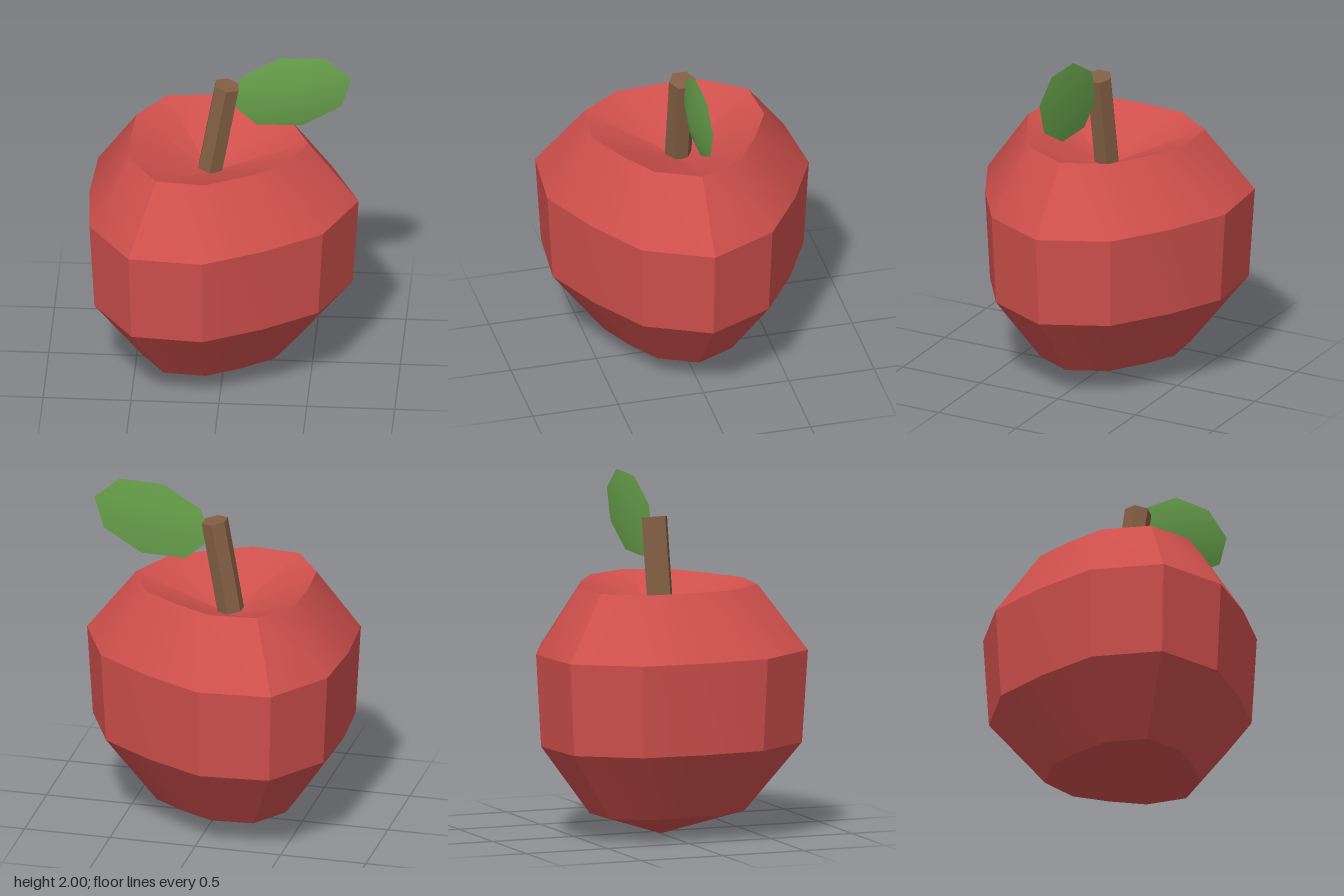
import * as THREE from 'three';
import { toCreasedNormals } from 'three/addons/utils/BufferGeometryUtils.js';

const CREASE = Math.PI / 6;
const CORE_X = -0.08; // axis of the fruit

function material(name, color) {
  const m = new THREE.MeshStandardMaterial({ color });
  m.name = name;
  return m;
}

function lathe(profile, sides) {
  return new THREE.LatheGeometry(profile.map(([r, y]) => new THREE.Vector2(r, y)), sides);
}

function addMesh(group, name, geometry, mat) {
  const mesh = new THREE.Mesh(geometry, mat);
  mesh.name = name;
  group.add(mesh);
  return mesh;
}

export function createModel() {
  const group = new THREE.Group();
  group.name = 'apple';
  const red = material('apple red', 0xcf504c);
  const brown = material('stem brown', 0x835f43);
  const green = material('leaf green', 0x68a24c);

  // Fruit: twelve-sided lathe with a pit on top, swollen into three lobes
  const fruit = lathe([
    [0, 0], [0.435, 0.14], [0.735, 0.54], [0.766, 1.07], [0.505, 1.44], [0, 1.23],
  ], 12);
  const pos = fruit.attributes.position;
  for (let i = 0; i < pos.count; i++) {
    const x = pos.getX(i), z = pos.getZ(i);
    const lobe = 1 + 0.1 * Math.cos(3 * Math.atan2(z, x));
    pos.setX(i, x * lobe);
    pos.setZ(i, z * lobe);
  }
  addMesh(group, 'fruit', toCreasedNormals(fruit, CREASE), red).position.x = CORE_X;

  // Stem: leaning hexagonal rod rising from the pit
  const stem = new THREE.CylinderGeometry(0.078, 0.078, 0.55, 6).translate(0, 0.275, 0);
  const stemMesh = addMesh(group, 'stem', toCreasedNormals(stem, CREASE), brown);
  stemMesh.position.set(CORE_X, 1.262, 0);
  stemMesh.rotation.z = -0.173;

  // Leaf: thin eight-sided lens, fuller at the front
  const leaf = lathe([[0, -0.03], [1, 0], [0, 0.056]], 8);
  leaf.rotateX(Math.PI / 2).scale(0.353, 0.228, 1);
  const leafMesh = addMesh(group, 'leaf', toCreasedNormals(leaf, CREASE), green);
  leafMesh.position.set(0.38, 1.777, 0);
  leafMesh.rotation.z = 0.28;

  return group;
}
